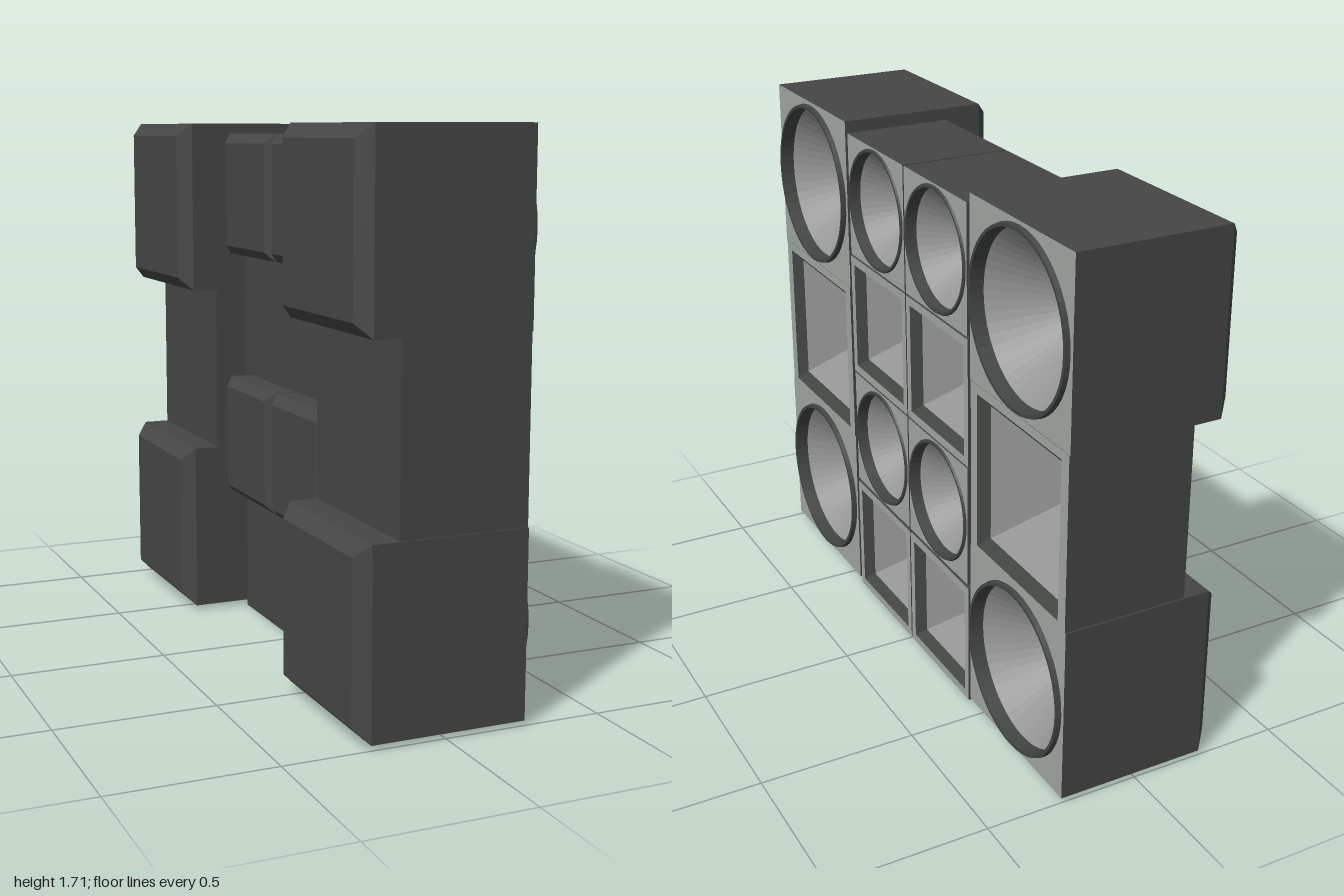
import * as THREE from 'three';

const mat = (color) => new THREE.MeshStandardMaterial({ color, flatShading: true });
const SHELL = mat(0x464646), PANEL = mat(0xa0a6a2), RIM = mat(0x414542), HORN = mat(0x949494), CAP = mat(0xa0a6a2);
const FRONT = 0.255; // plane of all the front panels

// Turned profile of [radius, depth] pairs along +z; four sides give a rectangular loft.
function turned(profile, sides, sx = 1, sy = 1) {
  const square = sides === 4;
  const k = square ? Math.SQRT2 : 1;
  const pts = profile.map(([r, d]) => new THREE.Vector2(r * k, d));
  const geo = new THREE.LatheGeometry(pts, sides, square ? Math.PI / 4 : 0);
  geo.rotateX(Math.PI / 2);
  geo.scale(sx, sy, 1);
  return geo;
}

function add(group, name, geo, material) {
  const mesh = new THREE.Mesh(geo, material);
  mesh.name = name;
  group.add(mesh);
}

// Closed back, optional bevel round the back edge, open front
function shell(w, h, back, bevel) {
  const profile = bevel
    ? [[0, back], [w / 2 - bevel, back], [w / 2, back + bevel], [w / 2, 0]]
    : [[0, back], [w / 2, back], [w / 2, 0]];
  return turned(profile, 4, 1, h / w);
}

// Flat front panel with a round or rectangular opening
function panel(w, h, hw, hh, round) {
  const s = new THREE.Shape();
  s.moveTo(-w / 2, -h / 2).lineTo(w / 2, -h / 2).lineTo(w / 2, h / 2).lineTo(-w / 2, h / 2).closePath();
  const hole = new THREE.Path();
  if (round) hole.absarc(0, 0, hw, 0, Math.PI * 2, true);
  else hole.moveTo(-hw, -hh).lineTo(-hw, hh).lineTo(hw, hh).lineTo(hw, -hh).closePath();
  s.holes.push(hole);
  return new THREE.ShapeGeometry(s, 24);
}

// One speaker: cabinet, panel, rim, horn and centre cap, facing +z locally
function speaker(name, o) {
  const g = new THREE.Group();
  g.name = name;
  const { w, h, r, ry = r, inner, depth, cap, lip, round } = o;
  const sides = round ? 48 : 4, sy = ry / r, wall = -0.03;
  add(g, 'cabinet', shell(w, h, o.back - FRONT, o.bevel), SHELL);
  add(g, 'frontPanel', panel(w, h, r, ry, round), PANEL);
  const rim = round
    ? [[r, 0], [r - 0.003, lip], [inner + 0.003, lip], [inner, wall]]
    : [[r, 0], [inner, wall]];
  add(g, 'rim', turned(rim, sides, 1, sy), RIM);
  add(g, 'horn', turned([[inner, wall], [cap, -depth]], sides, 1, sy), HORN);
  const capSides = round ? 20 : 4;
  add(g, 'capBase', turned([[cap, -depth], [cap * 0.9, 0.015 - depth], [cap * 0.5, 0.025 - depth]], capSides), RIM);
  add(g, 'capTop', turned([[cap * 0.5, 0.025 - depth], [0, 0.03 - depth]], capSides), CAP);
  return g;
}

const bigRound = { w: 0.57, h: 0.568, back: -0.274, bevel: 0.042, r: 0.273, inner: 0.257, lip: 0.015, depth: 0.28, cap: 0.038, round: true };
const bigSquare = { w: 0.56, h: 0.566, back: -0.147, r: 0.24, ry: 0.253, inner: 0.209, depth: 0.25, cap: 0.03 };
const smallRound = { w: 0.408, h: 0.408, back: -0.13, bevel: 0.03, r: 0.198, inner: 0.184, lip: 0.006, depth: 0.21, cap: 0.027, round: true };
const smallSquare = { w: 0.413, h: 0.416, back: -0.045, r: 0.181, inner: 0.155, depth: 0.19, cap: 0.026 };

export function createModel() {
  const model = new THREE.Group();
  model.name = 'speakerWall';
  // name, options, height of centre, distance from the middle
  const layout = [
    ['largeRoundSpeaker', bigRound, 0.299, 0.715],
    ['largeSquareSpeaker', bigSquare, 0.855, 0.715],
    ['largeRoundSpeaker', bigRound, 1.423, 0.715],
    ['smallSquareSpeaker', smallSquare, 0.208, 0.21],
    ['smallRoundSpeaker', smallRound, 0.632, 0.208],
    ['smallSquareSpeaker', smallSquare, 1.05, 0.21],
    ['smallRoundSpeaker', smallRound, 1.469, 0.208],
  ];
  for (const side of [1, -1]) {
    for (const [name, options, y, z] of layout) {
      const s = speaker(name, options);
      s.rotation.y = Math.PI / 2;
      s.position.set(FRONT, y, side * z);
      model.add(s);
    }
  }
  return model;
}
